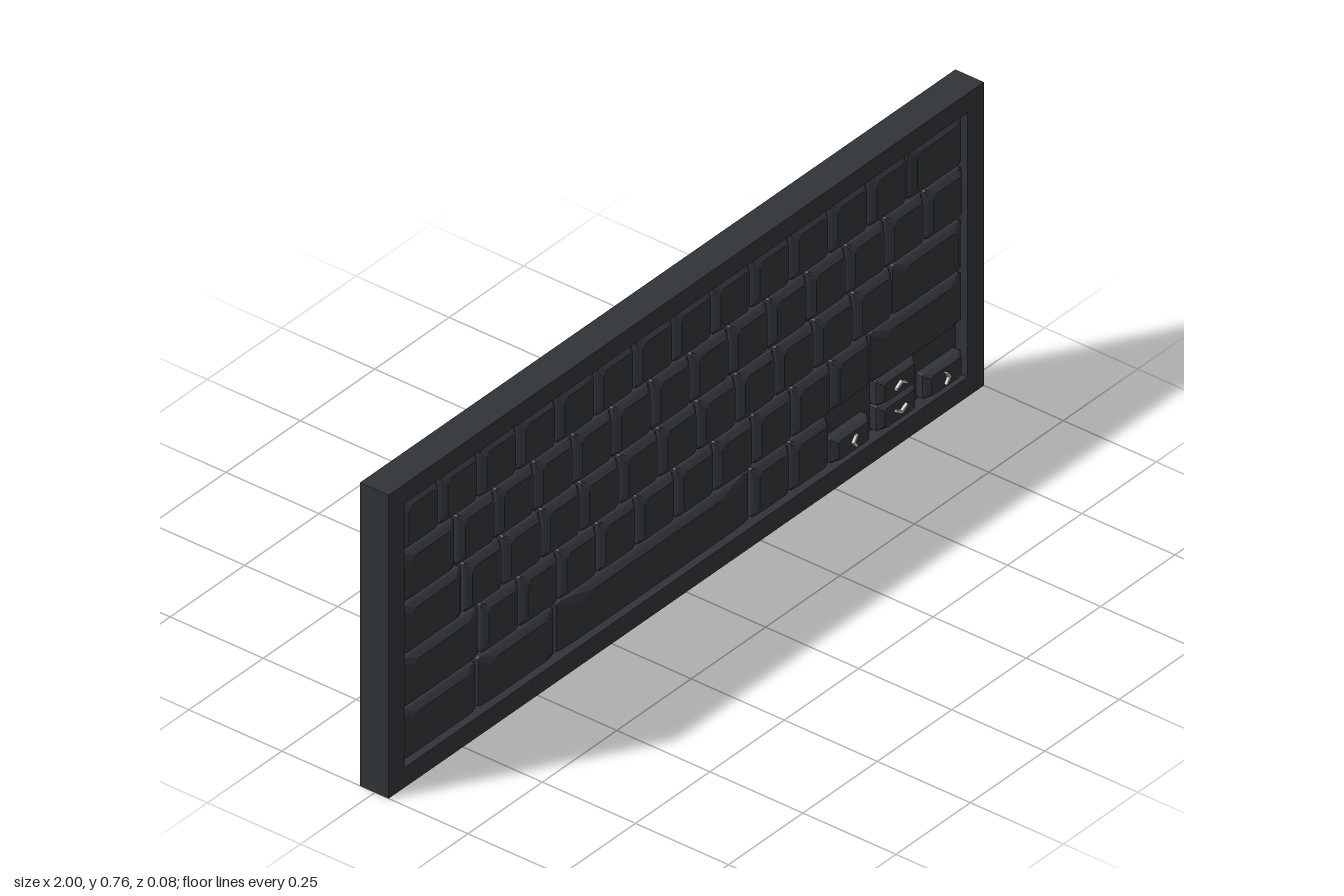
import * as THREE from 'three';

const FLOOR = 0.004, FRONT = 0.037, KEY_TOP = 0.0355;
const LEFT = -0.947, RIGHT = 0.945, UNIT = 0.131, ROW = 0.1325, BOTTOM = 0.052;

const dark = new THREE.MeshStandardMaterial({ color: 0x303437, flatShading: true });
const pale = new THREE.MeshStandardMaterial({ color: 0xc0c0c0, flatShading: true });

// Rectangle with cut corners, counter-clockwise
function ring(half, cut, z) {
  const a = half, b = half - cut;
  return [[a, -b], [a, b], [b, a], [-b, a], [-a, b], [-a, -b], [-b, -a], [b, -a]]
    .map(([x, y]) => [x, y, z]);
}

// Unit keycap: straight skirt, sloping shoulder, flat top
function keycapGeometry() {
  const rings = [ring(0.5, 0.03, 0), ring(0.5, 0.03, 0.55), ring(0.47, 0.06, 0.72), ring(0.4, 0.07, 1)];
  const pos = [];
  for (let r = 0; r < rings.length - 1; r++) {
    for (let i = 0; i < 8; i++) {
      const j = (i + 1) % 8, lo = rings[r], hi = rings[r + 1];
      pos.push(...lo[i], ...lo[j], ...hi[j], ...lo[i], ...hi[j], ...hi[i]);
    }
  }
  const top = rings[rings.length - 1];
  for (let i = 0; i < 8; i++) pos.push(0, 0, 1, ...top[i], ...top[(i + 1) % 8]);
  const g = new THREE.BufferGeometry();
  g.setAttribute('position', new THREE.Float32BufferAttribute(pos, 3));
  g.computeVertexNormals();
  return g;
}

export function createModel() {
  const model = new THREE.Group();
  const add = (parent, name, geometry, material, x, y, z) => {
    const mesh = new THREE.Mesh(geometry, material);
    mesh.name = name;
    mesh.position.set(x, y, z);
    parent.add(mesh);
    return mesh;
  };

  // Case: solid back plate and a raised rim around the key well
  const backDepth = FLOOR + 0.04;
  add(model, 'backPlate', new THREE.BoxGeometry(2, 0.765, backDepth), dark, 0, 0.3825, -0.04 + backDepth / 2);
  const rectangle = (Type, x0, y0, x1, y1) => new Type([
    [x0, y0], [x1, y0], [x1, y1], [x0, y1]].map(([x, y]) => new THREE.Vector2(x, y)));
  const rim = rectangle(THREE.Shape, -1, 0, 1, 0.765);
  rim.holes.push(rectangle(THREE.Path, LEFT, 0.05, RIGHT, 0.717));
  add(model, 'rim', new THREE.ExtrudeGeometry(rim, { depth: FRONT - FLOOR, bevelEnabled: false }), dark, 0, 0, FLOOR);

  const keys = new THREE.Group();
  keys.name = 'keys';
  model.add(keys);
  const cap = keycapGeometry();
  const addKey = (name, x, y, w, h) =>
    add(keys, name, cap, dark, x, y, FLOOR).scale.set(w, h, KEY_TOP - FLOOR);

  // Rows from the top: width of the first key, number of single keys; the last key fills the row
  const rows = [[1, 12], [1.45, 11], [1.63, 11], [2.06, 10]];
  rows.forEach(([first, count], r) => {
    const y = BOTTOM + ROW * (4.5 - r);
    const edges = [LEFT];
    for (let i = 0; i <= count; i++) edges.push(LEFT + UNIT * (first + i));
    if (r === 1) edges.push(LEFT + UNIT * (first + 12));
    edges.push(RIGHT);
    for (let i = 0; i < edges.length - 1; i++) {
      const w = edges[i + 1] - edges[i];
      addKey('key', (edges[i] + edges[i + 1]) / 2, y, w - 0.009, ROW - 0.009);
    }
  });

  // Bottom row: modifiers and space bar
  let x = LEFT;
  [['modifierKey', 2], ['modifierKey', 2], ['spaceBar', 5], ['modifierKey', 1], ['modifierKey', 1]]
    .forEach(([name, units]) => {
      const w = units * UNIT;
      addKey(name, x + w / 2, BOTTOM + ROW / 2, w - 0.009, ROW - 0.009);
      x += w;
    });

  // Half-height arrow keys with raised chevrons
  const chevron = new THREE.Shape([[-0.018, -0.008], [0, 0.002], [0.018, -0.008], [0.018, -0.002], [0, 0.009], [-0.018, -0.002]]
    .map(([px, py]) => new THREE.Vector2(px, py)));
  const chevronGeometry = new THREE.ExtrudeGeometry(chevron, { depth: 0.008, bevelEnabled: false });
  const low = BOTTOM + 0.034, high = BOTTOM + 0.099;
  [[0.565, low, Math.PI / 2], [0.72, high, 0], [0.72, low, Math.PI], [0.876, low, -Math.PI / 2]]
    .forEach(([kx, ky, turn]) => {
      addKey('arrowKey', kx, ky, 0.126, 0.06);
      const mark = add(keys, 'arrowMark', chevronGeometry, pale, kx, ky, KEY_TOP - 0.001);
      mark.rotation.z = turn;
      if (ky === low && kx !== 0.72) mark.scale.x = 0.8;
    });

  return model;
}
